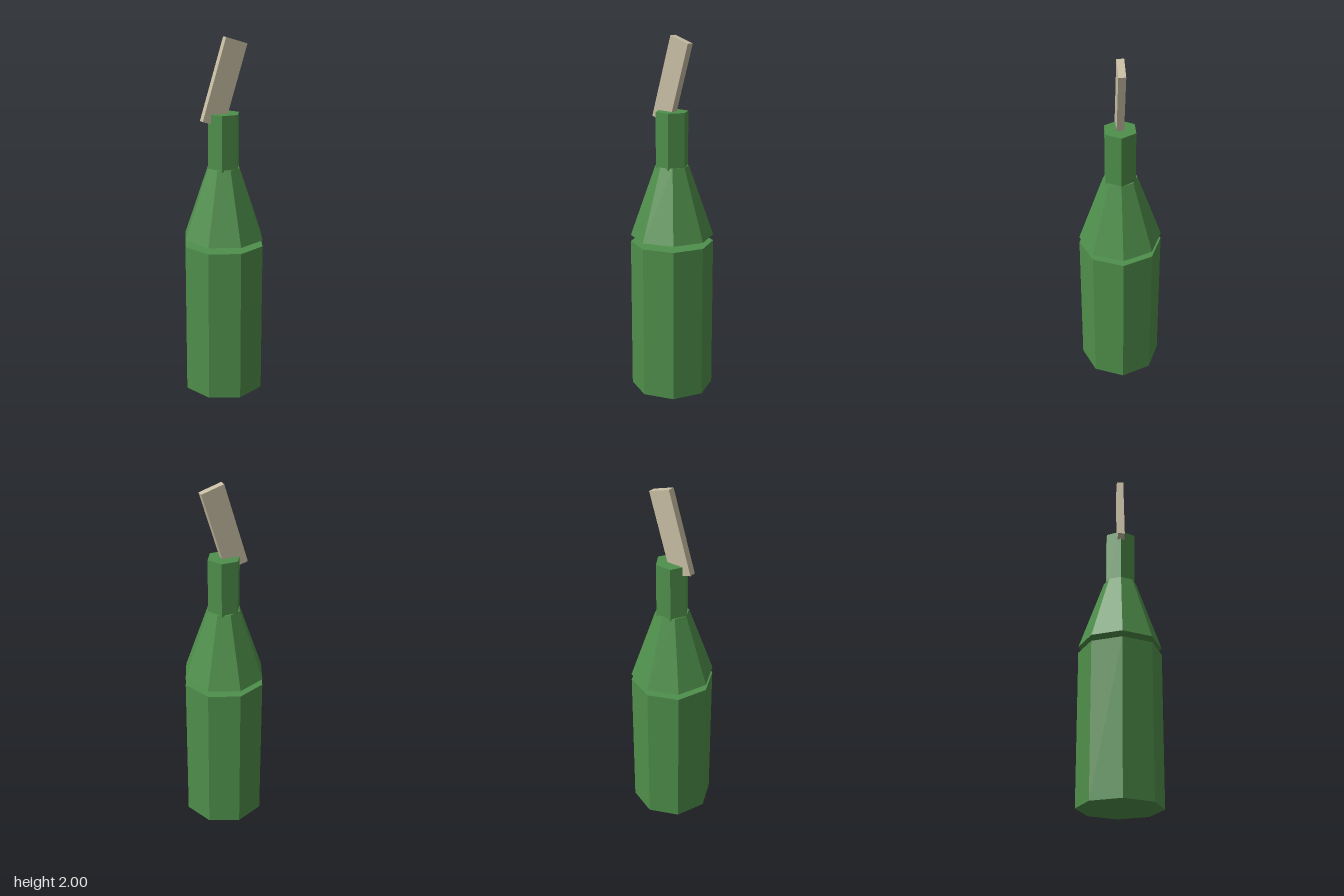
import * as THREE from 'three';

export function createModel() {
  const model = new THREE.Group();
  model.name = 'bottle';

  const glass = new THREE.MeshStandardMaterial({ color: 0x4f8f4b });
  glass.name = 'green glass';
  glass.flatShading = true;
  const cloth = new THREE.MeshStandardMaterial({ color: 0xc8bea4 });
  cloth.name = 'beige cloth';
  cloth.flatShading = true;

  // Faceted, capped section of the bottle between two heights
  function section(name, rTop, rBottom, y0, y1, sides, turn = 0) {
    const geo = new THREE.CylinderGeometry(rTop, rBottom, y1 - y0, sides);
    geo.rotateY(turn);
    const mesh = new THREE.Mesh(geo, glass);
    mesh.name = name;
    mesh.position.y = (y0 + y1) / 2;
    model.add(mesh);
  }

  // Body and shoulder are separated by a small gap
  section('body', 0.231, 0.231, 0, 0.865, 8);
  section('shoulder', 0.0925, 0.231, 0.9, 1.297, 8);
  // Six-sided neck with corners on the x axis
  section('neck', 0.0925, 0.0925, 1.285, 1.595, 6, Math.PI / 6);

  // Tilted strip of cloth sticking out of the neck
  const rag = new THREE.Mesh(new THREE.BoxGeometry(0.13, 0.461, 0.039), cloth);
  rag.name = 'rag';
  rag.position.y = 1.7605;
  rag.rotation.z = -0.3;
  model.add(rag);

  return model;
}
